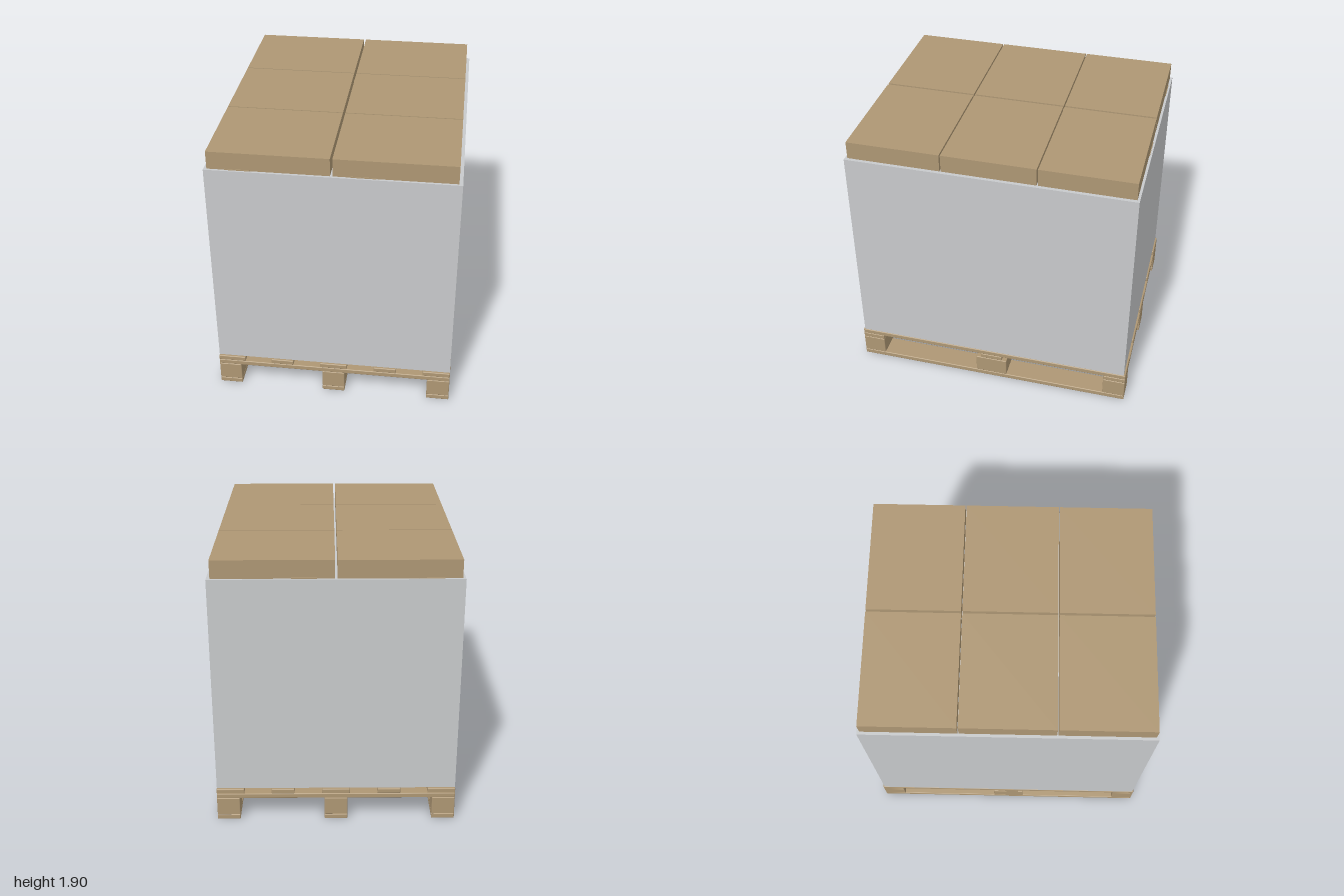
import * as THREE from 'three';
import { RoundedBoxGeometry } from 'three/addons/geometries/RoundedBoxGeometry.js';

export function createModel() {
  const model = new THREE.Group();
  model.name = 'loadedPallet';

  const wood = new THREE.MeshStandardMaterial({ color: 0xae9774 });
  wood.name = 'pallet wood';
  const cardboard = new THREE.MeshStandardMaterial({ color: 0xae9774 });
  cardboard.name = 'cardboard';
  const film = new THREE.MeshStandardMaterial({ color: 0xc8cacc });
  film.name = 'grey wrap';

  // Box given by its minimum and maximum on each axis
  function block(parent, name, material, [x0, x1], [y0, y1], [z0, z1], radius = 0) {
    const size = [x1 - x0, y1 - y0, z1 - z0];
    const geometry = radius
      ? new RoundedBoxGeometry(...size, 2, radius)
      : new THREE.BoxGeometry(...size);
    const mesh = new THREE.Mesh(geometry, material);
    mesh.position.set((x0 + x1) / 2, (y0 + y1) / 2, (z0 + z1) / 2);
    mesh.name = name;
    parent.add(mesh);
  }

  // Pallet: runners, blocks, cross boards and deck boards with eased edges
  const pallet = new THREE.Group();
  pallet.name = 'pallet';
  model.add(pallet);
  const ease = 0.006;
  const full = [-1, 1];
  const columns = [[-0.83, -0.67], [-0.08, 0.08], [0.67, 0.83]];
  const blockRows = [[-1, -0.84], [-0.115, 0.115], [0.84, 1]];
  const crossRows = [[-1, -0.84], [-0.08, 0.08], [0.84, 1]];
  const deck = [[-0.83, -0.637], [-0.448, -0.288], [-0.097, 0.097], [0.288, 0.448], [0.637, 0.83]];

  for (const x of columns) {
    block(pallet, 'bottomRunner', wood, x, [0, 0.036], full, ease);
    for (const z of blockRows) block(pallet, 'spacerBlock', wood, x, [0.036, 0.169], z, ease);
  }
  for (const z of crossRows) block(pallet, 'crossBoard', wood, [-0.83, 0.83], [0.169, 0.205], z, ease);
  for (const x of deck) block(pallet, 'deckBoard', wood, x, [0.205, 0.241], full, ease);

  // Wrapped load
  block(model, 'wrap', film, [-0.828, 0.828], [0.245, 1.78], [-0.988, 0.988]);

  // Top layer of cartons standing out of the wrap
  const cartons = new THREE.Group();
  cartons.name = 'cartons';
  model.add(cartons);
  for (const x of [[-0.808, -0.01], [0.006, 0.804]]) {
    for (const z of [[-0.971, -0.33], [-0.321, 0.321], [0.33, 0.971]]) {
      block(cartons, 'carton', cardboard, x, [1.7, 1.904], z);
    }
    // Small end labels, mostly tucked behind the wrap
    for (const z of [[-0.975, -0.97], [0.97, 0.975]]) {
      block(cartons, 'cartonLabel', cardboard, [x[0] + 0.115, x[0] + 0.28], [1.7, 1.787], z);
    }
  }
  return model;
}
